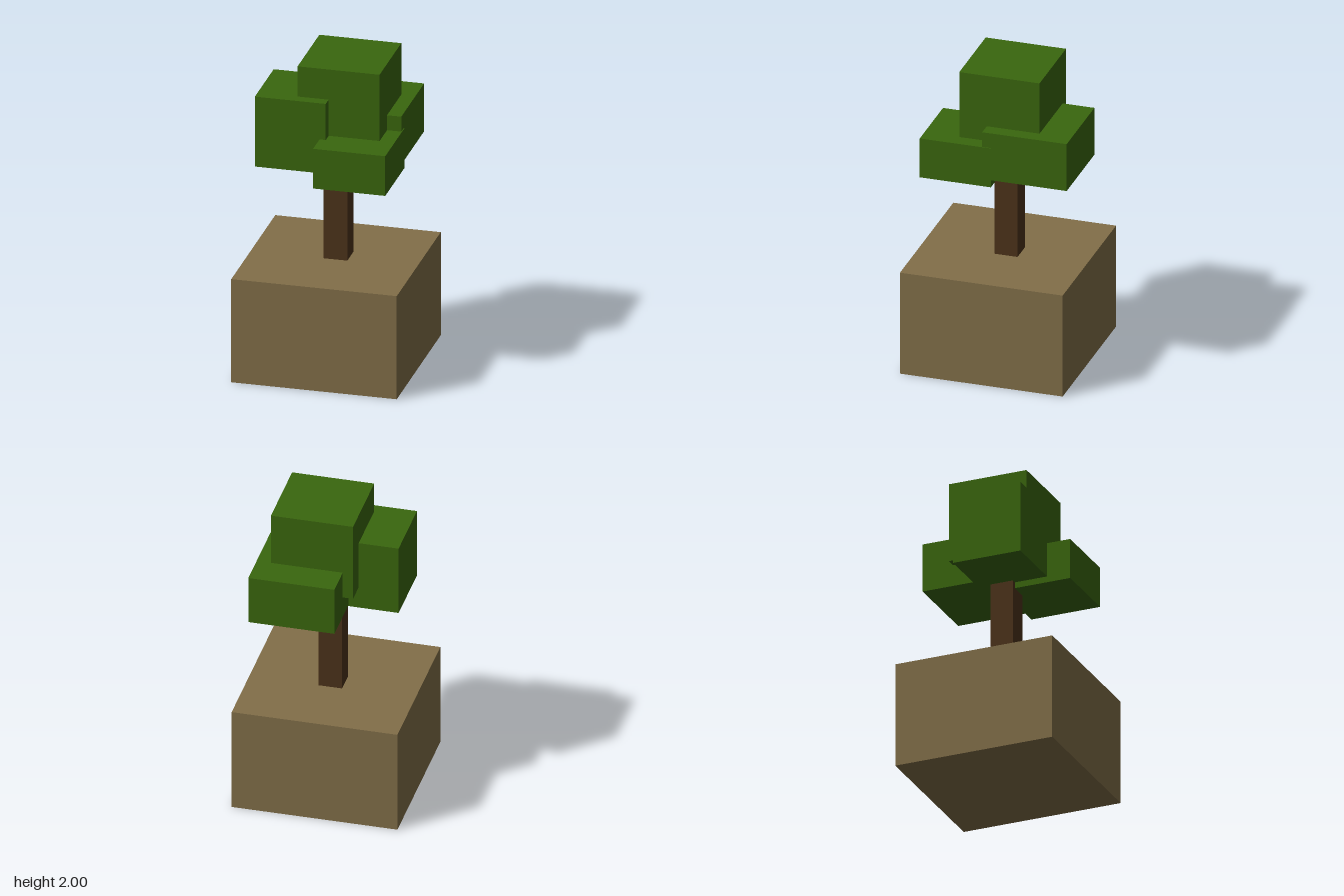
import * as THREE from 'three';

const material = (color) => new THREE.MeshStandardMaterial({ color, flatShading: true });

export function createModel() {
  const group = new THREE.Group();
  group.name = 'blockTree';

  const earth = material(0x826f49);
  const bark = material(0x4c331a);
  const leaf = material(0x3a670e);

  // Box given by its extents on each axis
  const addBox = (name, mat, [x0, x1], [y0, y1], [z0, z1]) => {
    const mesh = new THREE.Mesh(new THREE.BoxGeometry(x1 - x0, y1 - y0, z1 - z0), mat);
    mesh.position.set((x0 + x1) / 2, (y0 + y1) / 2, (z0 + z1) / 2);
    mesh.name = name;
    group.add(mesh);
  };

  // Soil block and trunk
  addBox('ground', earth, [-0.523, 0.523], [0, 0.683], [-0.523, 0.523]);
  addBox('trunk', bark, [-0.062, 0.087], [0.683, 1.5], [-0.09, 0.059]);

  // Overlapping foliage blocks
  addBox('topFoliage', leaf, [-0.188, 0.33], [1.482, 2], [-0.311, 0.205]);
  addBox('rightFoliage', leaf, [-0.44, 0.008], [1.337, 1.8], [-0.174, 0.274]);
  addBox('backFoliage', leaf, [-0.123, 0.42], [1.343, 1.66], [-0.515, 0.028]);
  addBox('frontFoliage', leaf, [-0.031, 0.425], [1.298, 1.561], [-0.029, 0.428]);

  return group;
}
